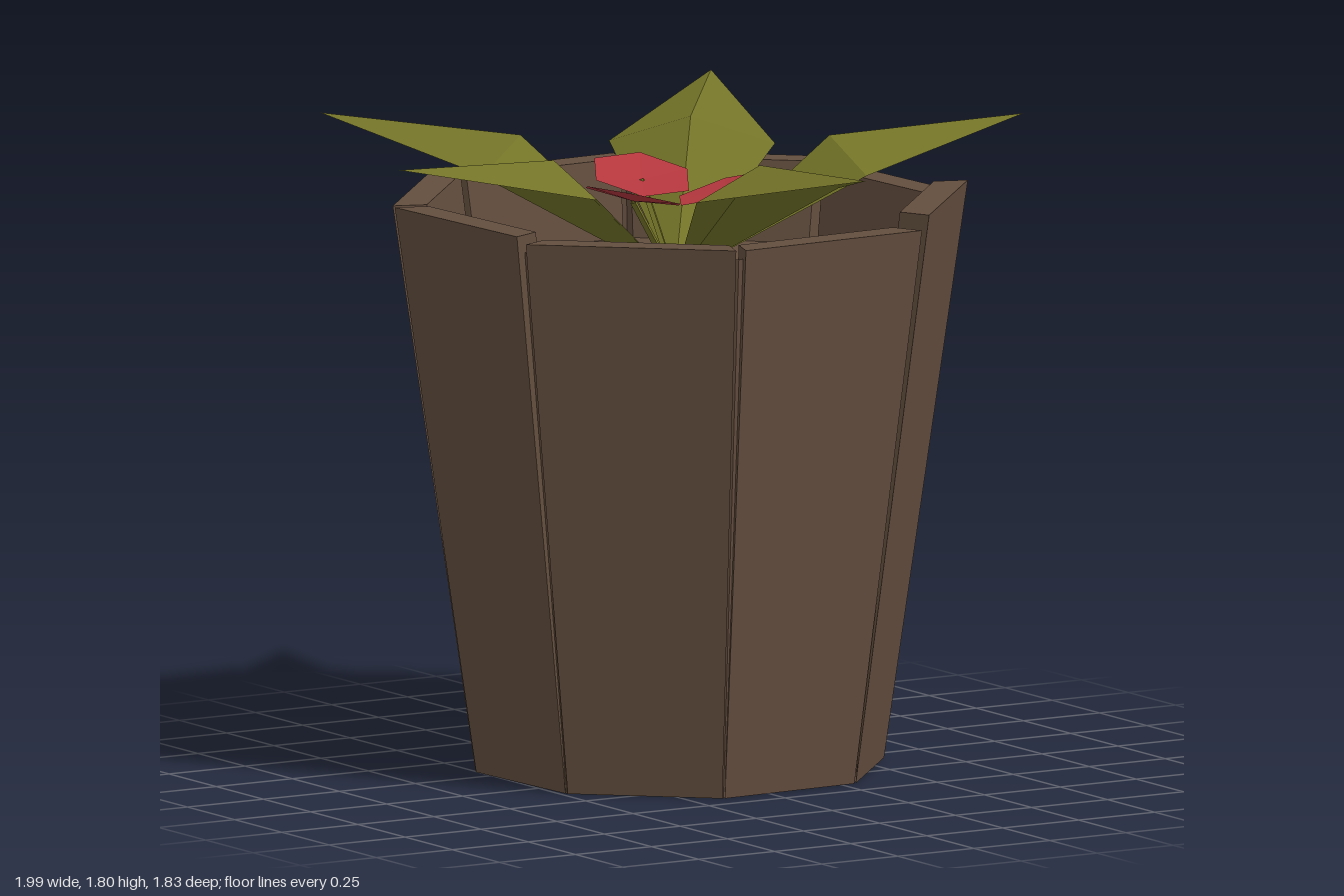
import * as THREE from 'three';

const mat = (name, color) =>
  new THREE.MeshStandardMaterial({ name, color, flatShading: true, side: THREE.DoubleSide });

// Mesh from corner points and triangles
function facets(name, points, faces, material) {
  const geo = new THREE.BufferGeometry();
  geo.setAttribute('position', new THREE.Float32BufferAttribute(points.flat(), 3));
  geo.setIndex(faces.flat());
  const flat = geo.toNonIndexed();
  flat.computeVertexNormals();
  const mesh = new THREE.Mesh(flat, material);
  mesh.name = name;
  return mesh;
}

export function createModel() {
  const wood = mat('brown wood', 0x634e3e);
  const green = mat('olive leaf', 0x747428);
  const red = mat('red petal', 0xb4373d);

  const model = new THREE.Group();
  model.name = 'pottedPlant';

  // Eight-sided tapered pot
  const pot = new THREE.Group();
  pot.name = 'pot';
  pot.position.set(0.045, 0, -0.13);
  pot.rotation.y = 0.049;
  model.add(pot);

  const T = Math.tan(Math.PI / 8), C = Math.cos(Math.PI / 8);
  const apothem = (y) => 0.54 + 0.137 * y;
  const rim = 0.09, gap = 0.015, soilY = 1.38;

  // Planks, anticlockwise from the front, each with its own height
  const heights = [1.59, 1.63, 1.59, 1.607, 1.6, 1.61, 1.61, 1.59];
  heights.forEach((h, i) => {
    const profile = [
      [apothem(0), 0, 0.004],
      [apothem(h), h, gap],
      [apothem(h) - rim, h, gap],
      [apothem(1.3) - rim, 1.3, gap],
    ];
    const points = profile.flatMap(([a, y, g]) => [[-(a * T - g), y, a], [a * T - g, y, a]]);
    const faces = [];
    for (let k = 0; k < 6; k += 2) faces.push([k, k + 1, k + 3], [k, k + 3, k + 2]);
    faces.push([0, 2, 4], [0, 4, 6], [1, 5, 3], [1, 7, 5]); // mitred ends
    const plank = facets('plank', points, faces, wood);
    plank.rotation.y = i * Math.PI / 4;
    pot.add(plank);
  });

  // Liner closing the grooves between the planks
  const liner = new THREE.Mesh(
    new THREE.CylinderGeometry((apothem(1.56) - 0.03) / C, (apothem(0) - 0.005) / C, 1.56, 8, 1, true), wood);
  liner.name = 'liner';
  liner.position.y = 0.78;
  liner.rotation.y = Math.PI / 8;
  pot.add(liner);

  // Soil
  const soil = new THREE.Mesh(new THREE.CircleGeometry(0.65 / C, 8, Math.PI / 8), wood);
  soil.name = 'soil';
  soil.rotation.x = -Math.PI / 2;
  soil.position.y = soilY;
  pot.add(soil);

  // Plant growing from the middle of the soil
  const plant = new THREE.Group();
  plant.name = 'plant';
  plant.position.set(0.01, 0, -0.1);
  model.add(plant);

  // Five folded leaves; the ridge stands above the side corners
  const tips = [[0, 1.01], [0.98, 0.27], [0.625, -0.815], [-0.685, -0.775], [-1.01, 0.165]];
  tips.forEach(([x, z]) => {
    const leaf = facets('leaf', [
      [0, soilY + 0.005, 0], [0.233, 1.69, 0.49], [0, 1.77, 0.45], [-0.233, 1.69, 0.49],
      [0, 1.805, Math.hypot(x, z)],
    ], [[0, 2, 1], [0, 3, 2], [2, 4, 1], [2, 3, 4]], green);
    leaf.rotation.y = Math.atan2(x, z);
    plant.add(leaf);
  });

  // Three shallow hexagonal flowers, raised on the outside, on thin stems
  const flowers = [[0.015, 1.65, -0.2], [-0.165, 1.64, 0.045], [0.13, 1.64, 0.065]];
  flowers.forEach(([x, y, z]) => {
    const out = Math.hypot(x, z);
    const points = [[0, y - 0.015, 0]], faces = [];
    for (let k = 0; k < 6; k++) {
      const a = k * Math.PI / 3, px = 0.15 * Math.cos(a), pz = 0.15 * Math.sin(a);
      points.push([px, y + 0.28 * (px * x + pz * z) / out, pz]);
      faces.push([0, (k + 1) % 6 + 1, k + 1]);
    }
    const flower = facets('flower', points, faces, red);
    flower.position.set(x, 0, z);
    plant.add(flower);

    const path = new THREE.LineCurve3(new THREE.Vector3(0, soilY, 0), new THREE.Vector3(x, y - 0.016, z));
    const stem = new THREE.Mesh(new THREE.TubeGeometry(path, 1, 0.01, 4), green);
    stem.name = 'stem';
    plant.add(stem);
  });

  return model;
}
